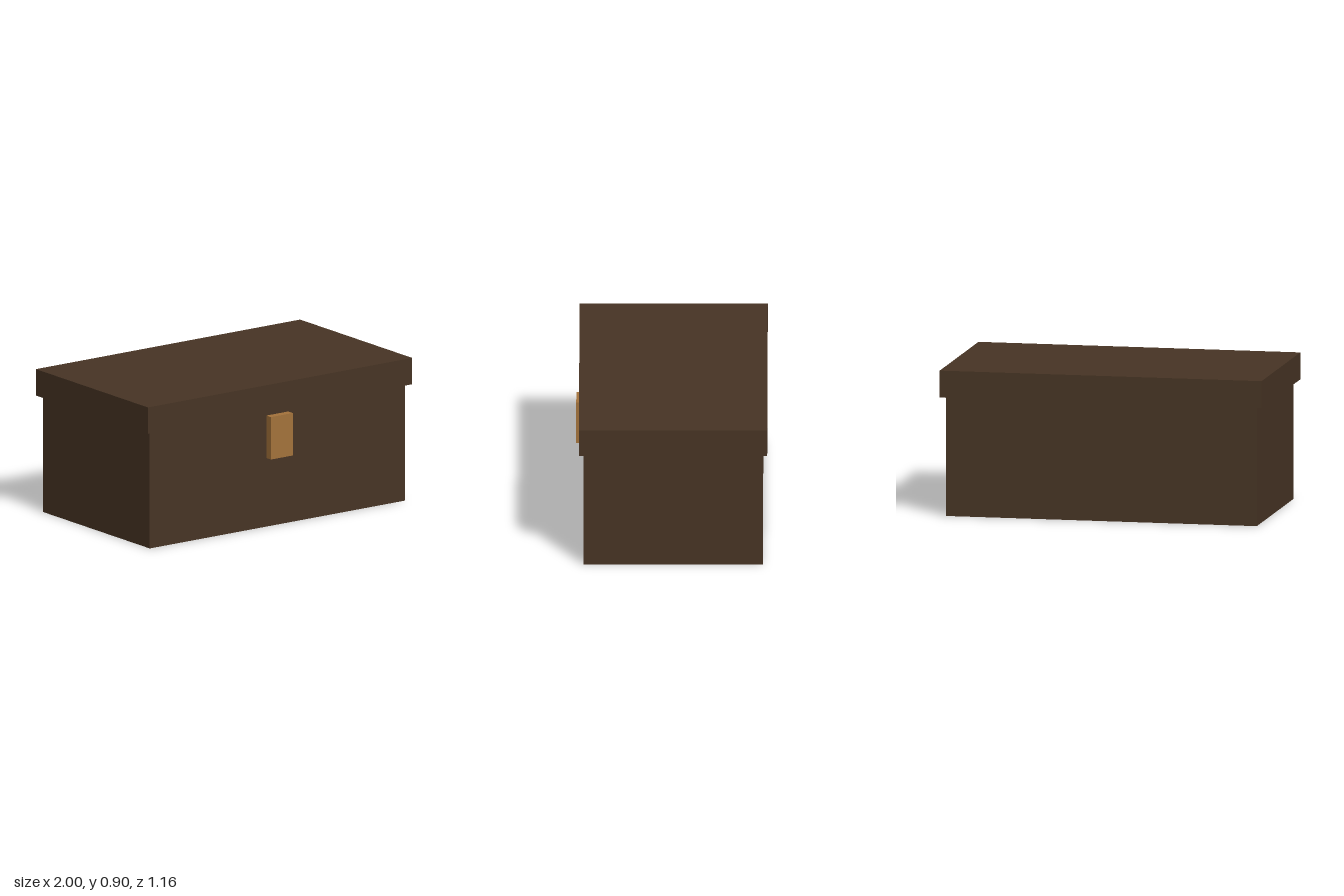
import * as THREE from 'three';

const darkWood = new THREE.MeshStandardMaterial({ color: 0x473424 });
darkWood.name = 'darkWood';
const brass = new THREE.MeshStandardMaterial({ color: 0xa3723b });
brass.name = 'brass';

// Box given by its size, base height and depth centre, centred on x
function box(name, material, width, height, depth, baseY, z) {
  const mesh = new THREE.Mesh(new THREE.BoxGeometry(width, height, depth), material);
  mesh.name = name;
  mesh.position.set(0, baseY + height / 2, z);
  return mesh;
}

export function createModel() {
  const chest = new THREE.Group();
  chest.name = 'chest';
  chest.add(
    // main box
    box('body', darkWood, 1.93, 0.732, 1.09, 0, -0.01),
    // overhanging lid
    box('lid', darkWood, 2, 0.166, 1.145, 0.732, -0.0091),
    // latch plate, sunk slightly into the front
    box('latch', brass, 0.166, 0.267, 0.066, 0.431, 0.5485),
  );
  return chest;
}
